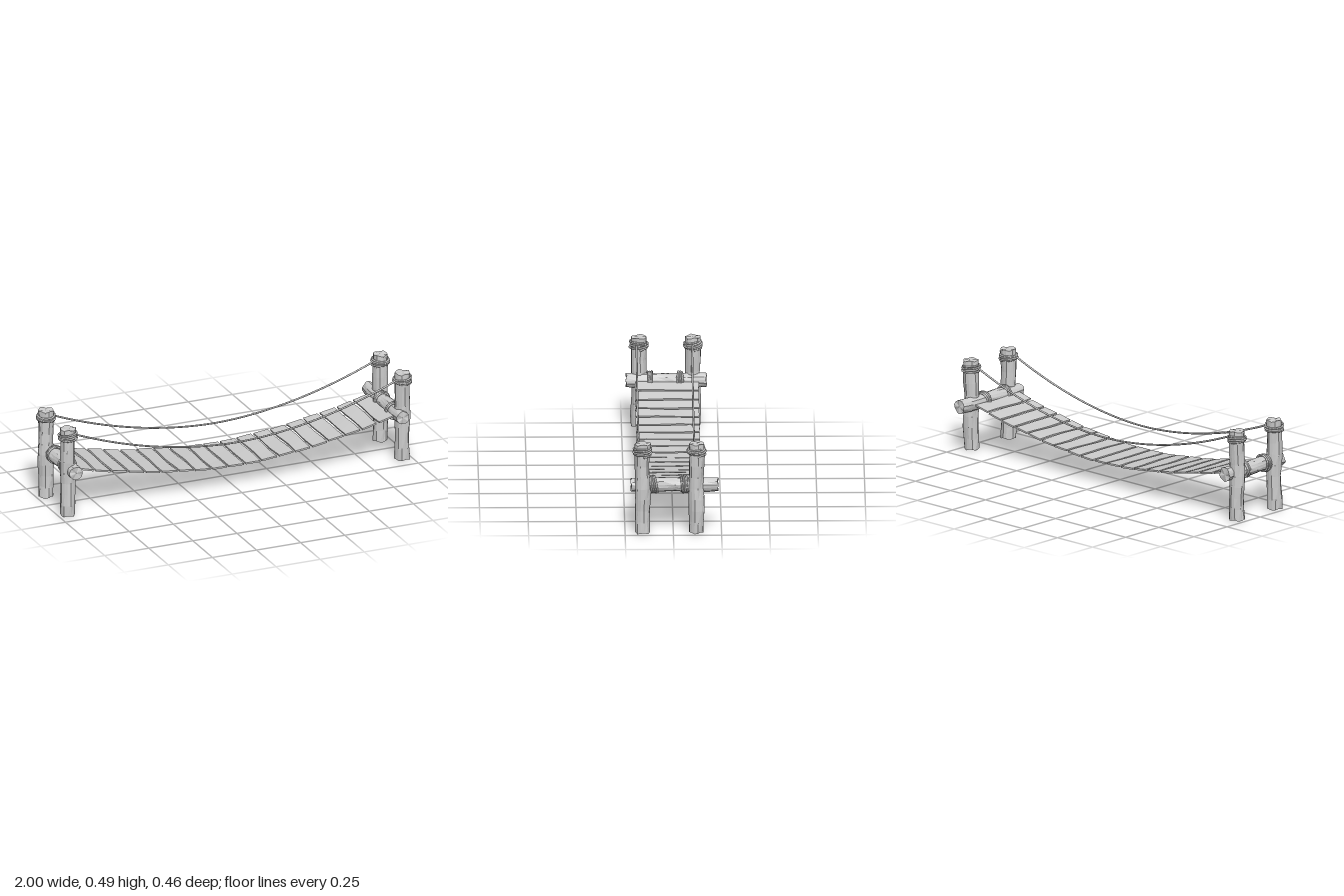
import * as THREE from 'three';

const wood = new THREE.MeshStandardMaterial({ color: 0xcccccc, flatShading: true });
const ropeMat = new THREE.MeshStandardMaterial({ color: 0xcccccc });
const ROPE = 0.005;

const add = (parent, name, geometry, material) => {
  const mesh = new THREE.Mesh(geometry, material);
  mesh.name = name;
  parent.add(mesh);
  return mesh;
};

const rope = (points, segments) =>
  new THREE.TubeGeometry(new THREE.CatmullRomCurve3(points), segments, ROPE, 8);

// Rough-hewn log along y: wavering radius, ridged sides and chipped ends
function logGeometry(radius, length, seed) {
  const geo = new THREE.CylinderGeometry(radius, radius, length, 14, 8);
  const p = geo.attributes.position;
  for (let i = 0; i < p.count; i++) {
    const x = p.getX(i), y = p.getY(i), z = p.getZ(i);
    if (Math.hypot(x, z) < 1e-5) continue;
    const a = Math.atan2(z, x), t = y / length;
    const k = 0.99 + 0.035 * Math.sin(t * 13 + seed)
      + 0.04 * Math.sin(5 * a + seed * 2 + 2 * Math.sin(t * 7))
      + 0.035 * Math.sin(2 * a + t * 9 + seed * 3);
    const chip = Math.abs(t) > 0.499 ? 0.004 * Math.sin(4 * a + seed) : 0;
    const bend = 0.002 * Math.sin(t * 10 + seed * 4);
    p.setXYZ(i, x * k + bend, y + chip, z * k - bend);
  }
  geo.computeVertexNormals();
  return geo;
}

// Coil around y with slightly uneven turns and a loose tail
function coilGeometry(radius, height, turns, seed, start = 0) {
  const points = [], n = turns * 16;
  for (let i = 0; i <= n; i++) {
    const t = i / n, a = start + t * turns * Math.PI * 2;
    const r = radius + 0.0025 * Math.sin(a * 0.37 + seed);
    const y = (0.5 - t) * height + 0.004 * Math.sin(a + seed + t * 3);
    points.push(new THREE.Vector3(Math.cos(a) * r, y, Math.sin(a) * r));
  }
  const end = start + turns * Math.PI * 2;
  points.push(new THREE.Vector3(
    Math.cos(end + 0.5) * radius, -height / 2 - 0.008, Math.sin(end + 0.5) * radius));
  return rope(points, n * 2);
}

// Plank with gently worn, wavy faces
function plankGeometry(seed) {
  const geo = new THREE.BoxGeometry(0.082, 0.009, 0.33, 1, 1, 6);
  const p = geo.attributes.position;
  for (let i = 0; i < p.count; i++) {
    const z = p.getZ(i), side = Math.sign(p.getX(i));
    p.setX(i, p.getX(i) + 0.002 * Math.sin(z * 23 + seed * 3 + side));
    p.setY(i, p.getY(i) + 0.0018 * Math.sin(z * 17 + seed * 2 + side * 0.6));
    p.setZ(i, z + (Math.abs(z) > 0.16 ? 0.002 * Math.sin(seed * 5 + side) : 0));
  }
  geo.computeVertexNormals();
  return geo;
}

const deckHeight = x => 0.127 + 0.128 * Math.pow(Math.abs(x) / 0.9, 1.75);

export function createModel() {
  const bridge = new THREE.Group();
  bridge.name = 'ropeBridge';
  const postZ = [0.16, -0.12];

  for (const s of [1, -1]) {
    const end = new THREE.Group();
    end.name = s > 0 ? 'leftEnd' : 'rightEnd';
    bridge.add(end);

    // Upright posts with rope lashings near the top
    postZ.forEach((z, i) => {
      const seed = 1.3 + i * 2.1 + s * 0.7;
      add(end, 'post', logGeometry(0.04, 0.478, seed), wood).position.set(s * 0.948, 0.244, z);
      const lash = add(end, 'postLashing', coilGeometry(0.045, 0.034, 4, seed, -0.6), ropeMat);
      lash.position.set(s * 0.948, 0.442, z);
      lash.rotation.x = i ? 0.06 : -0.04;
    });

    // Cross beam, lashed to both posts
    const beam = add(end, 'crossBeam', logGeometry(0.037, s > 0 ? 0.45 : 0.415, 4 + s), wood);
    beam.rotation.x = Math.PI / 2;
    beam.position.set(s * 0.927, 0.254, s > 0 ? -0.006 : 0.018);
    [0.103, -0.052].forEach((z, i) => {
      const lash = add(end, 'beamLashing', coilGeometry(0.042, 0.03, 4, i * 2 + s, 1), ropeMat);
      lash.rotation.set(Math.PI / 2 + (i ? -0.05 : 0.05), 0, 0);
      lash.position.set(s * 0.925, 0.256, z);
    });
  }

  // Sagging deck of planks, each tilted along the curve
  const deck = new THREE.Group();
  deck.name = 'deck';
  bridge.add(deck);
  for (let i = 0; i < 19; i++) {
    const x = -0.849 + i * 0.0943;
    const plank = add(deck, 'plank', plankGeometry(i), wood);
    plank.position.set(x, deckHeight(x), 0.015);
    plank.rotation.z = Math.atan2(deckHeight(x + 0.01) - deckHeight(x - 0.01), 0.02);
  }

  // Hanging hand ropes
  for (const z of [0.172, -0.116]) {
    const points = [];
    for (let i = 0; i <= 16; i++) {
      const x = -0.91 + i * 0.11375;
      points.push(new THREE.Vector3(x, 0.253 + 0.195 * Math.pow(Math.abs(x) / 0.91, 1.9), z));
    }
    add(bridge, 'handRope', rope(points, 64), ropeMat);
  }
  return bridge;
}
